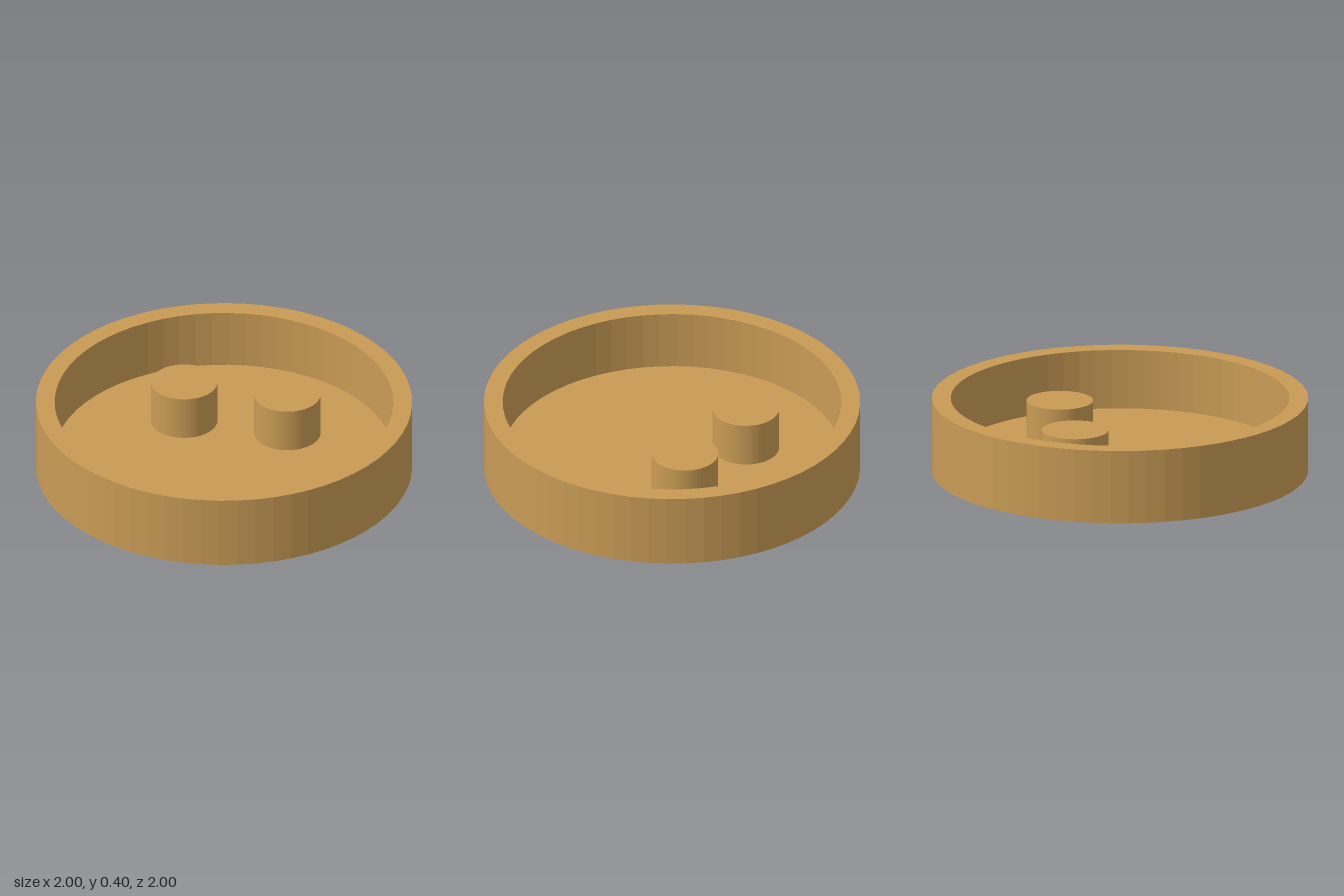
import * as THREE from 'three';

export function createModel() {
  const model = new THREE.Group();
  const tan = new THREE.MeshStandardMaterial({ color: 0xc89b55, flatShading: true });
  tan.name = 'tan';

  const floorY = 0.077, pegTop = 0.317, pegRadius = 0.177;

  // Round tray: underside, outer wall, rim, inner wall and floor in one profile
  const profile = [[0, 0], [1, 0], [1, 0.4], [0.9, 0.4], [0.9, floorY], [0, floorY]]
    .map(([r, y]) => new THREE.Vector2(r, y));
  const tray = new THREE.Mesh(new THREE.LatheGeometry(profile, 64), tan);
  tray.name = 'tray';
  model.add(tray);

  // Two pegs standing on the floor behind the centre
  const pegHeight = pegTop - floorY;
  const pegGeometry = new THREE.CylinderGeometry(pegRadius, pegRadius, pegHeight, 64);
  for (const side of [-1, 1]) {
    const peg = new THREE.Mesh(pegGeometry, tan);
    peg.name = side > 0 ? 'leftPeg' : 'rightPeg';
    peg.position.set(side * 0.281, floorY + pegHeight / 2, -0.282);
    model.add(peg);
  }
  return model;
}
